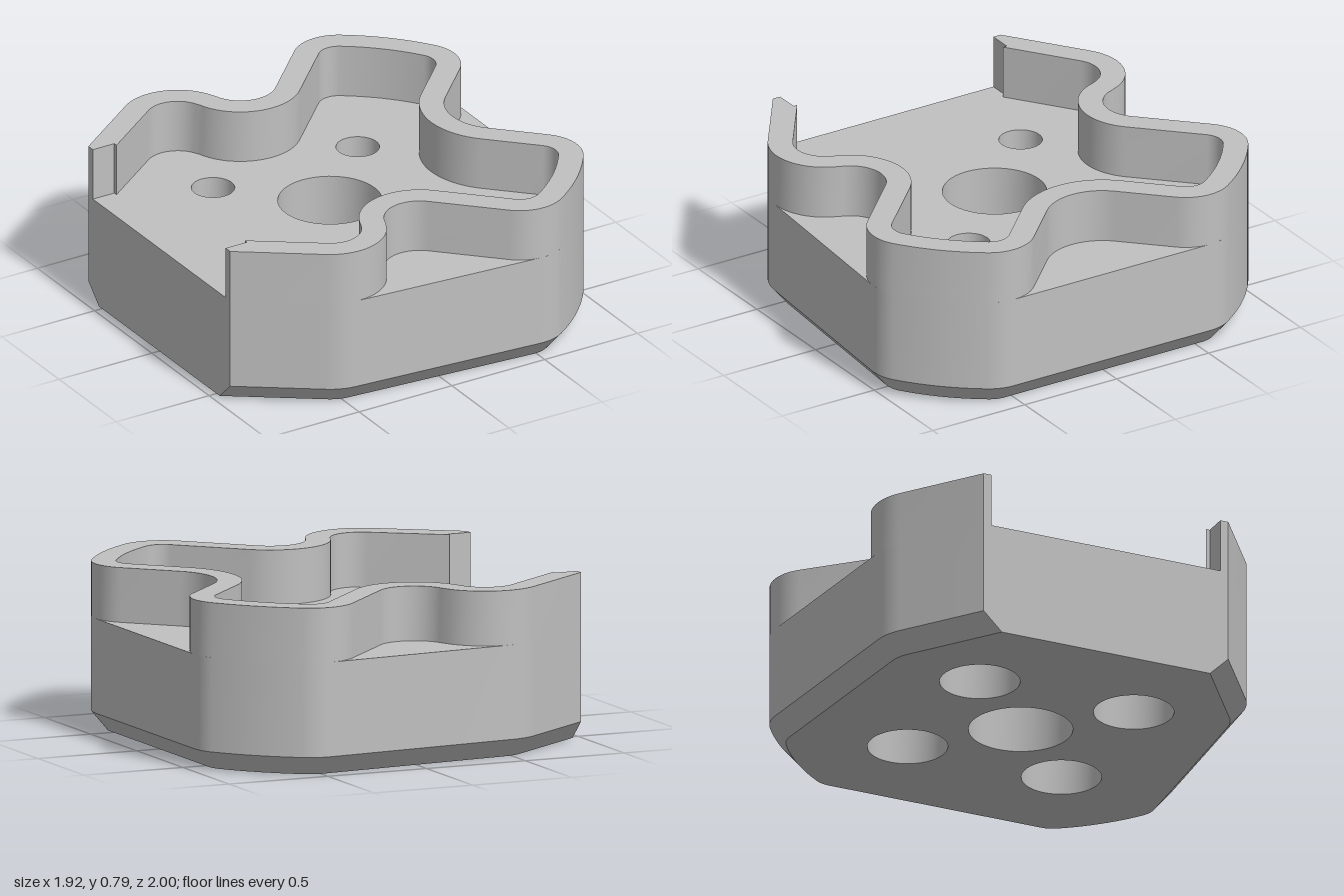
import * as THREE from 'three';
import { mergeGeometries, toCreasedNormals } from 'three/addons/utils/BufferGeometryUtils.js';

const V = (x, y) => new THREE.Vector2(x, y);

// Plan points (x, -z) along an arc, angles in degrees
function arc(cx, cy, r, from, to, n = 12) {
  return Array.from({ length: n + 1 }, (_, i) => {
    const a = THREE.MathUtils.degToRad(from + ((to - from) * i) / n);
    return V(cx + r * Math.cos(a), cy + r * Math.sin(a));
  });
}
const mirror = (pts) => pts.map((p) => V(p.x, -p.y)).reverse();

// Vertical or sloping side between two matching counter-clockwise loops
function side(low, y0, high, y1) {
  const pos = [];
  low.forEach((a, i) => {
    const j = (i + 1) % low.length;
    const b = low[j], c = high[j], d = high[i];
    pos.push(a.x, y0, -a.y, b.x, y0, -b.y, c.x, y1, -c.y);
    pos.push(a.x, y0, -a.y, c.x, y1, -c.y, d.x, y1, -d.y);
  });
  const g = new THREE.BufferGeometry();
  g.setAttribute('position', new THREE.Float32BufferAttribute(pos, 3));
  return g;
}

// Flat face with holes, facing up or down
function cap(outline, holes, y, up) {
  const shape = new THREE.Shape(outline);
  holes.forEach((h) => shape.holes.push(new THREE.Path(h)));
  const g = new THREE.ShapeGeometry(shape).toNonIndexed();
  g.deleteAttribute('uv');
  g.deleteAttribute('normal');
  g.rotateX(-Math.PI / 2).translate(0, y, 0);
  if (!up) {
    const p = g.attributes.position.array;
    for (let i = 0; i < p.length; i += 9) {
      for (let k = 0; k < 3; k++) [p[i + k], p[i + 3 + k]] = [p[i + 3 + k], p[i + k]];
    }
  }
  return g;
}

function build(name, parts, material) {
  const mesh = new THREE.Mesh(toCreasedNormals(mergeGeometries(parts), 0.5), material);
  mesh.name = name;
  return mesh;
}

const LEFT = -0.96, FLOOR = 0.53, TOP = 0.785, CHAMFER = 0.09, STEP = 0.27, WALL = 0.115;

// Rounded outer end of a big lobe, inset by o
const bigLobe = (o, from, to) => [
  ...arc(0.75, 0.535, 0.21 - o, from, 34.1),
  ...arc(-0.04, 0, 1.164 - o, 34.1, 55.9).slice(1),
  ...arc(0.495, 0.79, 0.21 - o, 55.9, to).slice(1),
];
const smallLobe = (o, from) => arc(-0.45, 0.665, 0.26 - o, from, 125.6, 20);
// Continues the straight cheek of the small lobe to a given x
function cheekEnd(pts, x) {
  const p = pts[pts.length - 1];
  return V(x, p.y + (x - p.x) * 0.716);
}

function baseOutline(o) {
  const half = [...bigLobe(o, 0, 94.5), ...smallLobe(o, 94.5)];
  half.push(cheekEnd(half, LEFT));
  return [...half, ...mirror(half)];
}

// One face of the wavy wall, from the middle of the +x side round to the open end
const wallFace = (o) => [
  ...arc(0.88, 0, 0.26 + o, 180, 135),
  ...bigLobe(o, -45, 135),
  ...arc(-0.04, 0.785, 0.165 + o, -45, -163.7, 24),
  ...smallLobe(o, 16.3).slice(1),
];

function wallOutline() {
  const outer = wallFace(0), inner = wallFace(WALL);
  const half = [
    ...outer, cheekEnd(outer, LEFT),
    V(LEFT, 0.58), V(-0.845, 0.58), cheekEnd(inner, -0.845), // stepped end
    ...inner.reverse(),
  ];
  return [...half, ...mirror(half).slice(1, -1)];
}

export function createModel() {
  const grey = new THREE.MeshStandardMaterial({ color: 0xc0c0c0 });
  grey.name = 'grey';
  const group = new THREE.Group();
  group.name = 'housing';

  // Hole loops
  const circle = (x, y, r) => arc(x, y, r, 0, 360, 48).slice(0, -1);
  const centre = circle(-0.04, 0, 0.24);
  const spots = [[-0.43, 0.39], [-0.43, -0.39], [0.35, 0.39], [0.35, -0.39]];
  const small = spots.map(([x, y]) => circle(x, y, 0.1));
  const large = spots.map(([x, y]) => circle(x, y, 0.185));

  // Base block with chamfered foot
  const outline = baseOutline(0), foot = baseOutline(0.075);
  group.add(build('base', [
    side(foot, 0, outline, CHAMFER),
    side(outline, CHAMFER, outline, FLOOR),
    cap(outline, [centre, ...small], FLOOR, true),
    cap(foot, [centre, ...large], 0, false),
  ], grey));

  // Through bore and four counterbored bolt holes
  const bore = (loop, y0, y1) => {
    const inward = [...loop].reverse();
    return side(inward, y0, inward, y1);
  };
  group.add(build('centreBore', [bore(centre, 0, FLOOR)], grey));
  spots.forEach((_, i) => group.add(build('boltHole', [
    bore(large[i], 0, STEP),
    cap(large[i], [small[i]], STEP, false),
    bore(small[i], STEP, FLOOR),
  ], grey)));

  // Wavy rim wall, open on the -x side
  const wall = wallOutline();
  group.add(build('rimWall', [side(wall, FLOOR, wall, TOP), cap(wall, [], TOP, true)], grey));

  return group;
}
